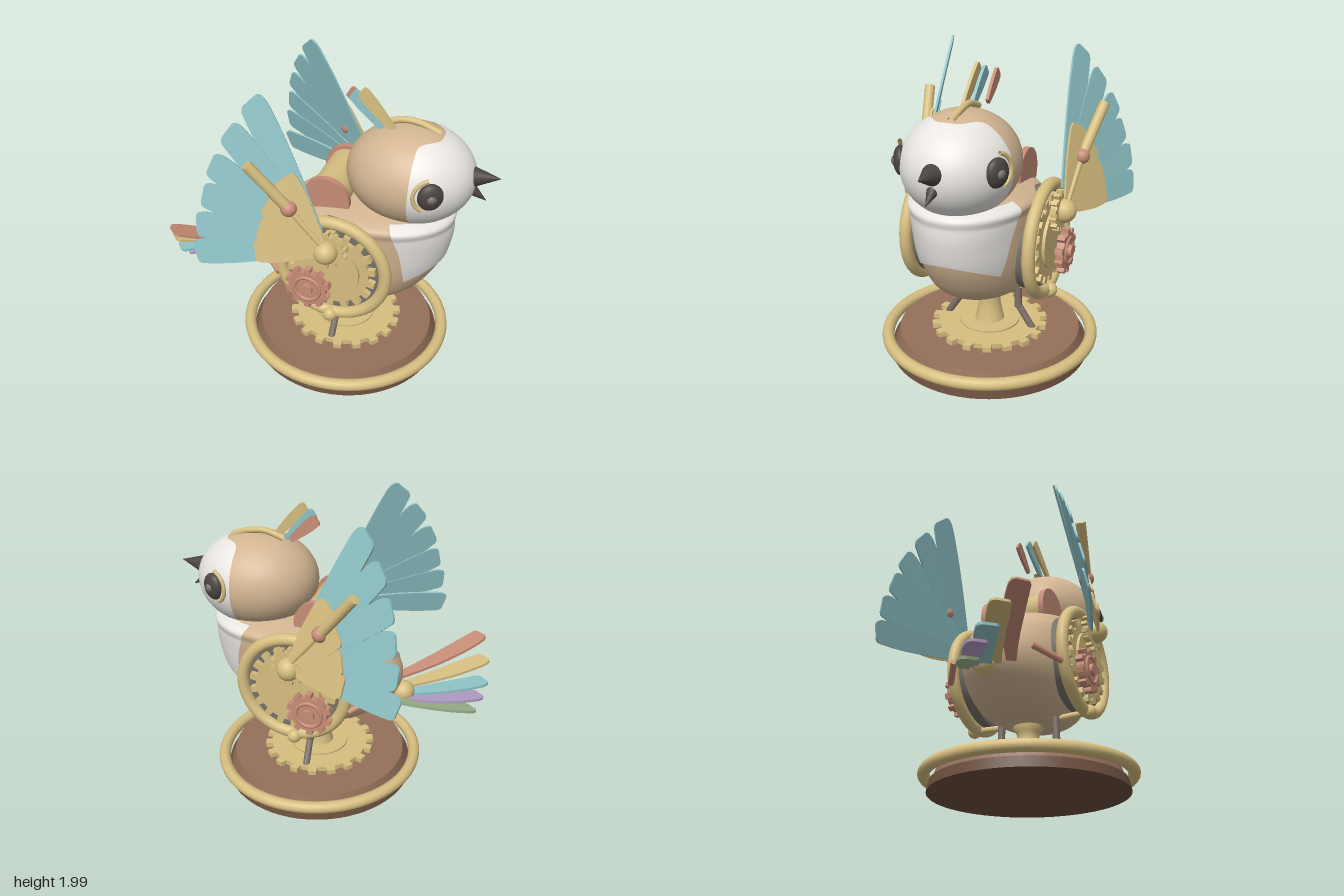
import * as THREE from 'three';
import { ParametricGeometry } from 'three/addons/geometries/ParametricGeometry.js';

const V = (x, y, z) => new THREE.Vector3(x, y, z);
const mat = (color) => new THREE.MeshStandardMaterial({ color, side: THREE.DoubleSide });
const TAN = mat(0xd2b592), WHITE = mat(0xe9e6e2), BRASS = mat(0xd6be80), COPPER = mat(0xc68d77),
  TEAL = mat(0x8fc3c7), DARK = mat(0x4b4441), BROWN = mat(0x94705a), DARKBROWN = mat(0x6b4f3e),
  LEG = mat(0x7d7068), GREY = mat(0x77716a), PURPLE = mat(0xb39fc6), GREEN = mat(0x9db58c);

function add(parent, name, geometry, material, pos) {
  const m = new THREE.Mesh(geometry, material);
  m.name = name;
  if (pos) m.position.copy(pos);
  parent.add(m);
  return m;
}

// Straight round bar between two points
function rod(parent, name, a, b, r, material) {
  const d = b.clone().sub(a);
  const m = add(parent, name, new THREE.CylinderGeometry(r, r, d.length(), 16), material, a.clone().add(b).multiplyScalar(0.5));
  m.quaternion.setFromUnitVectors(V(0, 1, 0), d.normalize());
  return m;
}

function ball(parent, name, pos, r, material) {
  return add(parent, name, new THREE.SphereGeometry(r, 24, 16), material, pos);
}

// Toothed wheel lying in the xy plane, thickness centred on z = 0
function gearGeometry(r, teeth, depth, tooth) {
  const shape = new THREE.Shape(), step = (Math.PI * 2) / teeth;
  for (let i = 0; i < teeth; i++) {
    [[0, r - tooth], [0.25, r - tooth], [0.25, r - tooth / 2], [0.3, r], [0.7, r], [0.75, r - tooth]].forEach(([f, q], k) => {
      const a = (i + f) * step;
      shape[i + k ? 'lineTo' : 'moveTo'](Math.cos(a) * q, Math.sin(a) * q);
    });
  }
  shape.closePath();
  return new THREE.ExtrudeGeometry(shape, { depth, bevelEnabled: false }).translate(0, 0, -depth / 2);
}

// Flat blade from base to tip, its width lying along the across direction
function feather(parent, name, base, tip, across, width, material, bend = 0, thick = 0.014) {
  const dir = tip.clone().sub(base), len = dir.length();
  dir.normalize();
  const normal = across.clone().cross(dir).normalize();
  const side = dir.clone().cross(normal).normalize();
  const h = width / 2, s = new THREE.Shape();
  s.moveTo(-h * 0.45, 0);
  s.bezierCurveTo(-h * 0.8, len * 0.35, -h * 1.1, len * 0.65, -h * 0.9, len * 0.93);
  s.quadraticCurveTo(-h * 0.8, len * 0.97, -h * 0.4, len * 0.975);
  s.lineTo(h * 0.5, len);
  s.quadraticCurveTo(h * 0.95, len, h, len * 0.9);
  s.bezierCurveTo(h * 1.05, len * 0.6, h * 0.8, len * 0.35, h * 0.45, 0);
  s.closePath();
  const g = new THREE.ExtrudeGeometry(s, { depth: thick, bevelEnabled: false, curveSegments: 10 }).translate(0, 0, -thick / 2);
  const p = g.attributes.position;
  for (let i = 0; i < p.count; i++) {
    const t = p.getY(i) / len;
    p.setX(i, p.getX(i) + bend * 4 * t * (1 - t));
  }
  g.computeVertexNormals();
  const m = add(parent, name, g, material, base);
  m.quaternion.setFromRotationMatrix(new THREE.Matrix4().makeBasis(side, dir, normal));
  return m;
}

// Body cross-sections: height, back, front, half width
const SLICES = [[0.445, 0.02, 0.06, 0.02], [0.46, -0.14, 0.2, 0.13], [0.52, -0.34, 0.38, 0.26], [0.6, -0.47, 0.5, 0.33],
  [0.72, -0.57, 0.59, 0.37], [0.85, -0.59, 0.65, 0.385], [1.0, -0.51, 0.68, 0.385], [1.1, -0.39, 0.68, 0.38],
  [1.18, -0.24, 0.66, 0.36], [1.25, 0.2, 0.4, 0.1]];
const spine = new THREE.CatmullRomCurve3(SLICES.map((s) => V(s[1], s[0], s[2])), false, 'catmullrom');
const girth = new THREE.CatmullRomCurve3(SLICES.map((s) => V(s[3], 0, 0)), false, 'catmullrom');
function bodyPoint(t, angle, grow, out) {
  const k = THREE.MathUtils.clamp(t / (SLICES.length - 1), 0, 1), a = spine.getPoint(k), r = girth.getPoint(k).x;
  out.set((r + grow) * Math.sin(angle), a.y, (a.x + a.z) / 2 + ((a.z - a.x) / 2 + grow) * Math.cos(angle));
}

function buildBase(bird) {
  const lathe = (pts) => new THREE.LatheGeometry(pts.map((p) => new THREE.Vector2(...p)), 64);
  add(bird, 'baseFoot', new THREE.CylinderGeometry(0.645, 0.66, 0.07, 64), DARKBROWN, V(0, 0.035, 0));
  add(bird, 'basePlate', new THREE.CylinderGeometry(0.6, 0.63, 0.085, 64), BROWN, V(0, 0.112, 0));
  add(bird, 'baseRing', new THREE.TorusGeometry(0.68, 0.04, 16, 72), BRASS, V(0, 0.12, 0)).rotation.x = Math.PI / 2;
  add(bird, 'baseGear', gearGeometry(0.385, 18, 0.035, 0.045), BRASS, V(0, 0.17, 0)).rotation.x = -Math.PI / 2;
  add(bird, 'baseGearHub', new THREE.CylinderGeometry(0.2, 0.2, 0.015, 40), BRASS, V(0, 0.192, 0));
  add(bird, 'pedestal', lathe([[0.1, 0.19], [0.092, 0.22], [0.075, 0.3], [0.07, 0.37], [0.078, 0.41], [0.1, 0.44], [0.1, 0.5]]), BRASS);
}

function buildBody(bird) {
  add(bird, 'body', new ParametricGeometry((u, v, o) => bodyPoint(v * 9, u * Math.PI * 2, 0, o), 64, 48), TAN);
  // White breast, wider at the top, lower at its two corners
  add(bird, 'bib', new ParametricGeometry((u, v, o) => {
    const side = u * 2 - 1, low = 5.1 - 0.8 * side * side;
    bodyPoint(low + (8.3 - low) * v, side * (0.75 + 0.5 * v), 0.012, o);
  }, 36, 24), WHITE);
  // Drum across the back
  const drum = (name, r, len, x, m) => {
    add(bird, name, new THREE.CylinderGeometry(r, r, len, 40), m, V(x, 1.235, -0.08)).rotation.z = Math.PI / 2;
  };
  drum('backDrum', 0.13, 0.42, 0, BRASS);
  for (const s of [1, -1]) drum('drumCap', 0.155, 0.04, s * 0.22, COPPER);
}

function buildHead(bird) {
  const c = V(0, 1.42, 0.39), R = V(0.345, 0.31, 0.4);
  add(bird, 'head', new THREE.SphereGeometry(1, 56, 40), TAN, c).scale.copy(R);
  add(bird, 'faceMask', new ParametricGeometry((u, v, o) => {
    const phi = (u * 2 - 1) * Math.PI, max = THREE.MathUtils.degToRad(80 - 18 * Math.exp(-((phi / 0.4) ** 4)));
    const a = 0.01 + v * max;
    o.set(Math.sin(a) * Math.sin(phi), Math.sin(a) * Math.cos(phi), Math.cos(a)).multiply(R).multiplyScalar(1.012).add(c);
  }, 72, 24), WHITE);
  // Eyes with brass lids curving around their rear side
  for (const s of [1, -1]) {
    const eye = new THREE.Group();
    eye.name = 'eye';
    eye.position.set(s * 0.297, 1.45, 0.583);
    eye.rotation.y = s * 1.1;
    add(eye, 'eyeball', new THREE.SphereGeometry(1, 28, 20), DARK).scale.set(0.078, 0.088, 0.042);
    ball(eye, 'pupil', V(0, 0, 0.02), 0.034, GREY);
    const lid = add(eye, 'eyelid', new THREE.TorusGeometry(0.105, 0.013, 10, 28, 2.5), BRASS, V(0, 0.005, 0));
    lid.rotation.z = s > 0 ? -1.1 : Math.PI - 1.4;
    if (s > 0) lid.rotation.set(0, Math.PI, 0).z = Math.PI - 1.4;
    if (s > 0) lid.rotation.set(0, 0, -1.1);
    bird.add(eye);
  }
  // Beak
  const cone = (name, a, b, r) => {
    const d = b.clone().sub(a);
    const m = add(bird, name, new THREE.ConeGeometry(r, d.length(), 24), DARK, a.clone().add(b).multiplyScalar(0.5));
    m.quaternion.setFromUnitVectors(V(0, 1, 0), d.normalize());
  };
  cone('upperBeak', V(0, 1.455, 0.72), V(0, 1.48, 0.94), 0.085);
  cone('lowerBeak', V(0, 1.41, 0.71), V(0, 1.31, 0.87), 0.06);
  // Crest: brass strip on the crown and three upright blades
  const strip = new THREE.CatmullRomCurve3([V(0.02, 1.71, 0.2), V(0.02, 1.75, 0.32), V(0.02, 1.745, 0.42), V(0.01, 1.705, 0.55)]);
  add(bird, 'crestStrip', new THREE.TubeGeometry(strip, 24, 0.021, 12), BRASS);
  [[BRASS, -0.045, 1.7, 0.28, -0.03, 1.92, 0.06], [TEAL, -0.02, 1.69, 0.2, -0.01, 1.89, 0],
    [COPPER, 0.055, 1.72, 0.14, 0.05, 1.87, -0.04]].forEach(([m, x, y, z, X, Y, Z]) => {
    feather(bird, 'crestFeather', V(x, y, z), V(X, Y, Z), V(0, 1, 1), 0.08, m, 0, 0.02);
  });
}

// Ring, gears, wing and leg of one side
function buildSide(bird, s) {
  const P = (x, y, z) => V(s * x, y, z);
  const wheel = (name, g, m, p) => { add(bird, name, g, m, p).rotation.y = s * Math.PI / 2; };
  const disc = (name, r, len, m, p) => { add(bird, name, new THREE.CylinderGeometry(r, r, len, 36), m, p).rotation.z = Math.PI / 2; };
  wheel('sideRing', new THREE.TorusGeometry(0.345, 0.04, 16, 56), BRASS, P(0.405, 0.855, 0.03));
  disc('sidePlate', 0.33, 0.1, GREY, P(0.35, 0.855, 0.03));
  wheel('mainGear', gearGeometry(0.29, 18, 0.04, 0.045), BRASS, P(0.415, 0.86, 0.03));
  disc('mainGearHub', 0.19, 0.03, BRASS, P(0.44, 0.86, 0.03));
  wheel('wingGear', gearGeometry(0.13, 14, 0.04, 0.025), BRASS, P(0.475, 1.05, 0.02));
  disc('wingAxle', 0.05, 0.14, BRASS, P(0.47, 1.05, 0.02));
  ball(bird, 'wingHub', P(0.51, 1.05, 0.02), 0.075, BRASS);
  wheel('copperGear', gearGeometry(0.15, 10, 0.05, 0.028), COPPER, P(0.485, 0.73, -0.1));
  wheel('copperGearRim', new THREE.TorusGeometry(0.085, 0.012, 10, 32), COPPER, P(0.51, 0.73, -0.1));
  disc('copperGearHub', 0.04, 0.16, COPPER, P(0.455, 0.73, -0.1));
  rod(bird, 'copperRod', P(0.41, 0.73, -0.33), P(0.285, 0.8, -0.495), 0.022, COPPER);
  ball(bird, 'ringBall', P(0.43, 0.5, 0.03), 0.048, BRASS);
  rod(bird, 'ringBracket', P(0.43, 0.5, 0.03), P(0.2, 0.49, 0.03), 0.022, BRASS);

  // Wing fan
  const hub = P(0.5, 1.06, 0.02);
  const tips = [[0.45, 1.97, -0.47], [0.55, 1.8, -0.58], [0.64, 1.61, -0.66], [0.7, 1.42, -0.7], [0.76, 1.23, -0.73], [0.79, 1.03, -0.74]]
    .map((t) => P(...t));
  const normal = tips[0].clone().sub(hub).cross(tips[5].clone().sub(hub)).normalize();
  const blade = (name, tip, from, to, width, m, out) => {
    const d = tip.clone().sub(hub), shift = P(out, 0, 0);
    const across = d.clone().cross(normal).normalize();
    feather(bird, name, hub.clone().addScaledVector(d, from).add(shift), hub.clone().addScaledVector(d, to).add(shift), across, width, m);
  };
  tips.forEach((t, i) => blade('wingFeather', t, 0.12, 1, 0.17, TEAL, -0.006 * i));
  [0.2, 1.7, 3.3, 4.8].forEach((k, i) => {
    const j = Math.floor(k);
    blade('coverFeather', tips[j].clone().lerp(tips[j + 1], k - j), 0.06, 0.53, 0.16, BRASS, 0.025 - 0.004 * i);
  });
  const joint = P(0.545, 1.34, -0.2);
  rod(bird, 'wingRod', P(0.52, 1.1, 0), joint, 0.018, BRASS);
  ball(bird, 'wingJoint', joint, 0.05, COPPER);
  rod(bird, 'wingStrut', joint, P(0.615, 1.63, -0.43), 0.034, BRASS);

  // Leg
  const knee = P(0.205, 0.33, 0);
  rod(bird, 'upperLeg', P(0.2, 0.52, 0), knee, 0.025, LEG);
  rod(bird, 'lowerLeg', knee, P(0.31, 0.17, 0), 0.023, LEG);
  ball(bird, 'knee', knee, 0.026, LEG);
}

// Tail fan swept to the bird's right
function buildTail(root) {
  const tail = new THREE.Group();
  tail.name = 'tail';
  ball(tail, 'tailJoint', V(-0.25, 0.69, -0.22), 0.075, BRASS);
  [[COPPER, V(-0.3, 0.71, -0.06), V(-0.92, 0.94, -0.15), 0.14, 0.025], [BRASS, V(-0.28, 0.69, -0.15), V(-0.89, 0.81, -0.26), 0.14, 0.02],
    [TEAL, V(-0.27, 0.67, -0.21), V(-0.85, 0.67, -0.32), 0.14, 0.02], [PURPLE, V(-0.24, 0.67, -0.28), V(-0.79, 0.59, -0.36), 0.13, 0.03],
    [GREEN, V(-0.13, 0.7, -0.32), V(-0.72, 0.51, -0.385), 0.12, 0.02]].forEach(([m, a, b, w, bend]) => {
    feather(tail, 'tailFeather', a, b, V(0, 0, -1), w, m, bend, 0.018);
  });
  root.add(tail);
}

export function createModel() {
  const root = new THREE.Group();
  root.name = 'clockworkBird';
  // The bird faces diagonally, between +x and +z
  const bird = new THREE.Group();
  bird.name = 'bird';
  bird.position.set(0.2, 0, 0.18);
  bird.rotation.y = THREE.MathUtils.degToRad(48);
  root.add(bird);
  buildBase(bird);
  buildBody(bird);
  buildHead(bird);
  for (const s of [1, -1]) buildSide(bird, s);
  buildTail(root);
  return root;
}
